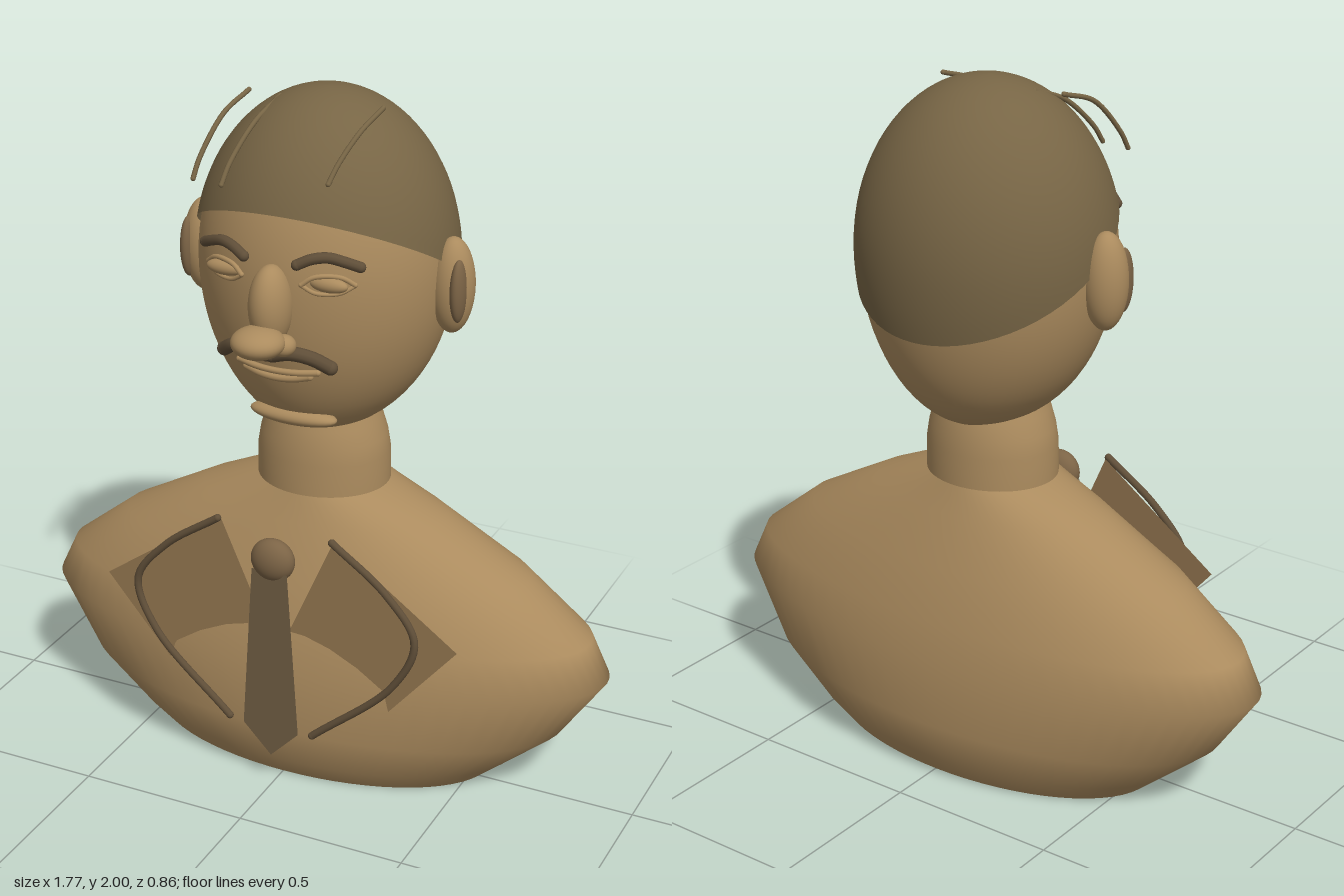
import * as THREE from 'three';

const mat = (name, color, side = THREE.FrontSide) => {
  const m = new THREE.MeshStandardMaterial({ color, side });
  m.name = name;
  return m;
};

// Closed ring surface: fn(angle, t) gives a point, t runs from top (0) to bottom (1)
function ringSurface(fn, nu, nv) {
  const pos = [], idx = [];
  for (let j = 0; j <= nv; j++)
    for (let i = 0; i < nu; i++) pos.push(...fn((i / nu) * Math.PI * 2, j / nv));
  for (let j = 0; j < nv; j++)
    for (let i = 0; i < nu; i++) {
      const k = (i + 1) % nu;
      const a = j * nu + i, b = a + nu, c = (j + 1) * nu + k, d = j * nu + k;
      idx.push(a, b, c, a, c, d);
    }
  const g = new THREE.BufferGeometry();
  g.setAttribute('position', new THREE.Float32BufferAttribute(pos, 3));
  g.setIndex(idx);
  g.computeVertexNormals();
  return g;
}

// Elliptical cross-sections [y, halfWidth, halfDepth], top to bottom
const loft = (rows, zc) => ringSurface((a, t) => {
  const [y, rx, rz] = rows[Math.round(t * (rows.length - 1))];
  return [Math.sin(a) * rx, y, zc + Math.cos(a) * rz];
}, 64, rows.length - 1);

// Egg-shaped skull; grow enlarges it for the hair cap
const HEAD_Y = 1.52, HEAD_Z = -0.075;
function skull(a, th, grow = 0) {
  const c = Math.cos(th), s = Math.max(0, Math.sin(th));
  const y = HEAD_Y + c * ((c > 0 ? 0.47 : 0.5) + grow);
  const deep = c > 0 ? s : Math.pow(s, 0.75);
  return [Math.sin(a) * s * (0.363 + grow), y, HEAD_Z + Math.cos(a) * deep * (0.345 + grow)];
}
// Depth of the face at a given x and y
function faceZ(x, y) {
  const c = (y - HEAD_Y) / (y > HEAD_Y ? 0.47 : 0.5), s = Math.sqrt(1 - c * c);
  const deep = c > 0 ? s : Math.pow(s, 0.75);
  return HEAD_Z + 0.345 * deep * Math.sqrt(Math.max(0, 1 - (x / (0.363 * s)) ** 2));
}
// Angle at which the skull meets the tilted hairline plane
function hairline(a) {
  let lo = 0, hi = Math.PI;
  for (let i = 0; i < 30; i++) {
    const mid = (lo + hi) / 2, p = skull(a, mid, 0.011);
    if (p[1] > 1.74 + 0.588 * (p[2] - 0.265)) lo = mid; else hi = mid;
  }
  return lo;
}

export function createModel() {
  const skin = mat('skin', 0xab8b5e);
  const coat = mat('coat', 0xab8b5e, THREE.DoubleSide);
  const lapelMat = mat('lapelBrown', 0x937650, THREE.DoubleSide);
  const tieMat = mat('tieBrown', 0x6f5c42, THREE.DoubleSide);
  const hairMat = mat('hairBrown', 0x776545, THREE.DoubleSide);
  const dark = mat('darkBrown', 0x5f4e38);
  const shade = mat('innerEarBrown', 0x7c6446);

  const model = new THREE.Group();
  model.name = 'bust';
  const add = (name, geo, m) => {
    const mesh = new THREE.Mesh(geo, m);
    mesh.name = name;
    model.add(mesh);
    return mesh;
  };
  const ball = (name, p, r, m) => {
    const b = add(name, new THREE.SphereGeometry(1, 32, 20), m);
    b.position.set(...p);
    b.scale.set(...r);
    return b;
  };
  // Round-section tube with closed ends
  const tube = (name, pts, r, m, n = 32) => {
    const curve = new THREE.CatmullRomCurve3(pts.map((p) => new THREE.Vector3(...p)));
    add(name, new THREE.TubeGeometry(curve, n, r, 10), m);
    for (const t of [0, 1]) ball(name + 'End', curve.getPoint(t).toArray(), [r, r, r], m);
  };
  const plate = (name, pts, z, m) => {
    const shape = new THREE.Shape(pts.map((p) => new THREE.Vector2(...p)));
    add(name, new THREE.ShapeGeometry(shape), m).position.z = z;
  };

  // Shoulders, open underneath, and neck
  add('shoulders', loft([
    [0.86, 0.19, 0.172], [0.78, 0.38, 0.205], [0.64, 0.64, 0.265], [0.49, 0.83, 0.313],
    [0.375, 0.885, 0.335], [0.19, 0.76, 0.357], [0.065, 0.615, 0.32], [0, 0.54, 0.28],
  ], -0.055), coat);
  add('neck', loft([
    [1.12, 0.14, 0.14], [1.05, 0.168, 0.16], [1.0, 0.185, 0.168],
    [0.95, 0.194, 0.172], [0.855, 0.195, 0.173],
  ], -0.055), skin);

  // Head and hair cap
  add('head', ringSurface((a, t) => skull(a, t * Math.PI), 64, 40), skin);
  add('hairCap', ringSurface((a, t) => skull(a, t * hairline(a), 0.011), 64, 24), hairMat);

  // Loose strands over the crown
  tube('strandRight', [[-0.22, 1.97, -0.035], [-0.24, 1.93, 0.08], [-0.265, 1.83, 0.17], [-0.27, 1.78, 0.2]], 0.007, hairMat);
  tube('strandMiddle', [[-0.125, 1.965, -0.035], [-0.145, 1.92, 0.08], [-0.17, 1.83, 0.18], [-0.177, 1.78, 0.215]], 0.007, hairMat);
  tube('strandLeft', [[0.18, 1.97, -0.035], [0.163, 1.93, 0.08], [0.137, 1.86, 0.16], [0.128, 1.82, 0.195]], 0.007, hairMat);

  // Nose
  ball('noseBridge', [0, 1.49, 0.28], [0.058, 0.115, 0.072], skin);
  ball('noseTip', [0, 1.412, 0.357], [0.074, 0.043, 0.073], skin);

  // Mirrored features
  for (const s of [1, -1]) {
    const side = s > 0 ? 'left' : 'right';
    const onFace = (pts, out) => pts.map(([x, y]) => [s * x, y, faceZ(x, y) + out]);
    ball(side + 'Nostril', [s * 0.055, 1.398, 0.315], [0.034, 0.03, 0.035], skin);
    ball(side + 'Ear', [s * 0.38, 1.493, -0.063], [0.062, 0.138, 0.064], skin);
    ball(side + 'InnerEar', [s * 0.412, 1.492, -0.025], [0.022, 0.09, 0.035], shade);
    ball(side + 'Eye', [s * 0.153, 1.562, faceZ(0.153, 1.562) + 0.008], [0.056, 0.022, 0.022], skin);
    tube(side + 'UpperLid', onFace([[0.088, 1.562], [0.115, 1.582], [0.153, 1.588], [0.19, 1.582], [0.218, 1.562]], 0.018), 0.007, skin);
    tube(side + 'LowerLid', onFace([[0.09, 1.558], [0.12, 1.541], [0.153, 1.537], [0.186, 1.541], [0.215, 1.558]], 0.016), 0.006, skin);
    tube(side + 'Eyebrow', onFace([[0.078, 1.618], [0.115, 1.635], [0.155, 1.64], [0.195, 1.628], [0.23, 1.612]], 0.028), 0.015, dark);
    tube(side + 'Moustache', onFace([[0.008, 1.352], [0.06, 1.365], [0.115, 1.355], [0.16, 1.325]], 0.035), 0.02, dark);

    // Lapel plate with its trim
    plate(side + 'Lapel', [[0.178, 0.815], [0.55, 0.55], [0.17, 0.1], [0.04, 0.1], [0.04, 0.5]]
      .map(([x, y]) => [s * x, y]), 0.256, lapelMat);
    tube(side + 'LapelTrim', [[0.178, 0.815], [0.345, 0.695], [0.435, 0.57], [0.375, 0.42], [0.132, 0.2]]
      .map(([x, y]) => [s * x, y, 0.314 - 0.052 * y]), 0.011, dark, 48);
  }

  // Mouth, philtrum and chin
  const arc = (y, w, dip, out) => [-1, -0.5, 0, 0.5, 1].map((k) => {
    const yy = y - dip * (1 - k * k);
    return [k * w, yy, faceZ(k * w, yy) + out];
  });
  tube('philtrum', [[0, 1.38, 0.31], [0, 1.35, 0.305]], 0.006, skin, 4);
  tube('upperLip', arc(1.3, 0.118, 0.006, 0.016), 0.009, skin);
  tube('lowerLip', arc(1.285, 0.095, 0.014, 0.014), 0.011, skin);
  ball('chin', [0, 1.12, 0.145], [0.132, 0.028, 0.045], skin);

  // Tie
  plate('tie', [[-0.055, 0.7], [-0.087, 0.19], [0, 0.1], [0.087, 0.19], [0.055, 0.7]], 0.304, tieMat);
  ball('tieKnot', [0, 0.727, 0.28], [0.066, 0.064, 0.042], shade);

  return model;
}
